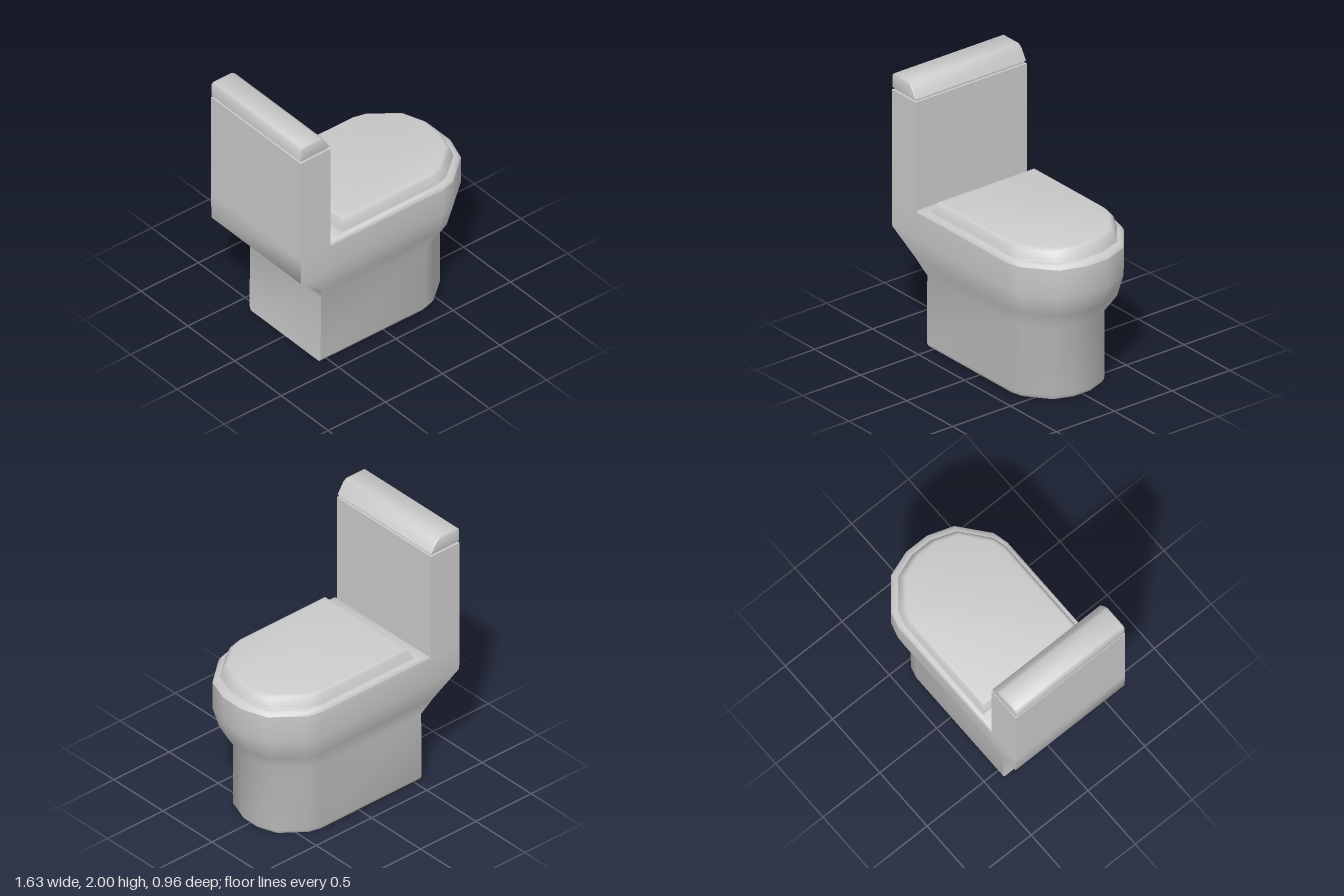
import * as THREE from 'three';
import { toCreasedNormals } from 'three/addons/utils/BufferGeometryUtils.js';

const material = new THREE.MeshStandardMaterial({ color: 0xcccccc, side: THREE.DoubleSide });

// Nose of the D-shaped outline: distance behind the front tip, fraction of half width
const NOSE = [[0.385, 1], [0.275, 0.94], [0.065, 0.58], [0, 0.19]];

// Straight back, straight sides and faceted round front
function outline({ y, back, front, half, nose = 1 }) {
  const side = [[back, half], ...NOSE.map(([d, w]) => [front - d * nose, half * w])];
  const mirrored = side.map(([x, z]) => [x, -z]).reverse();
  return [...side, ...mirrored].map(([x, z]) => [x, y, z]);
}

// Skin a stack of outlines, optionally closing the top
function loft(sections, capTop) {
  const rings = sections.map(outline);
  const n = rings[0].length;
  const index = [];
  for (let r = 0; r < rings.length - 1; r++) {
    for (let i = 0; i < n; i++) {
      const a = r * n + i, b = r * n + (i + 1) % n;
      index.push(a, b, b + n, a, b + n, a + n);
    }
  }
  if (capTop) {
    const o = (rings.length - 1) * n;
    for (let i = 1; i < n - 1; i++) index.push(o, o + i, o + i + 1);
  }
  const geometry = new THREE.BufferGeometry();
  geometry.setAttribute('position', new THREE.Float32BufferAttribute(rings.flat(2), 3));
  geometry.setIndex(index);
  return toCreasedNormals(geometry, 0.87);
}

function addPart(group, name, geometry, x = 0, y = 0, z = 0) {
  const mesh = new THREE.Mesh(geometry, material);
  mesh.name = name;
  mesh.position.set(x, y, z);
  group.add(mesh);
}

export function createModel() {
  const group = new THREE.Group();
  group.name = 'toilet';

  // Pedestal flaring into the bowl, open underneath
  addPart(group, 'pedestalAndBowl', loft([
    { y: 0, back: -0.56, front: 0.65, half: 0.365, nose: 0.8 },
    { y: 0.03, back: -0.56, front: 0.665, half: 0.38, nose: 0.8 },
    { y: 0.54, back: -0.555, front: 0.665, half: 0.38, nose: 0.8 },
    { y: 0.68, back: -0.61, front: 0.765, half: 0.445, nose: 0.92 },
    { y: 0.845, back: -0.81, front: 0.815, half: 0.48 },
    { y: 1.05, back: -0.815, front: 0.815, half: 0.48 },
  ], false));

  // Rim with a softened edge
  addPart(group, 'rim', loft([
    { y: 1.05, back: -0.555, front: 0.815, half: 0.48 },
    { y: 1.072, back: -0.53, front: 0.8, half: 0.472 },
    { y: 1.083, back: -0.44, front: 0.765, half: 0.45 },
  ], true));

  // Closed seat lid
  addPart(group, 'seatLid', loft([
    { y: 1.08, back: -0.43, front: 0.765, half: 0.448, nose: 0.95 },
    { y: 1.095, back: -0.425, front: 0.757, half: 0.442, nose: 0.95 },
    { y: 1.15, back: -0.405, front: 0.735, half: 0.428, nose: 0.92 },
    { y: 1.165, back: -0.392, front: 0.717, half: 0.415, nose: 0.9 },
    { y: 1.17, back: -0.375, front: 0.7, half: 0.4, nose: 0.88 },
  ], true));

  // Tank and the recessed neck below its lid
  addPart(group, 'tank', new THREE.BoxGeometry(0.26, 0.825, 0.96), -0.685, 1.4625);
  addPart(group, 'tankNeck', new THREE.BoxGeometry(0.23, 0.03, 0.93), -0.685, 1.885);

  // Tank lid: profile with sloping front, extruded across the width
  const b = 0.01;
  const profile = new THREE.Shape([
    [-0.805, 1.9], [-0.57, 1.903], [-0.615, 1.972], [-0.64, 1.99], [-0.795, 1.99], [-0.805, 1.98],
  ].map(([x, y]) => new THREE.Vector2(x, y)));
  const lid = new THREE.ExtrudeGeometry(profile, {
    depth: 0.96 - 2 * b, bevelEnabled: true, bevelSize: b, bevelThickness: b, bevelSegments: 2,
  });
  addPart(group, 'tankLid', toCreasedNormals(lid, 0.87), 0, 0, b - 0.48);

  return group;
}
